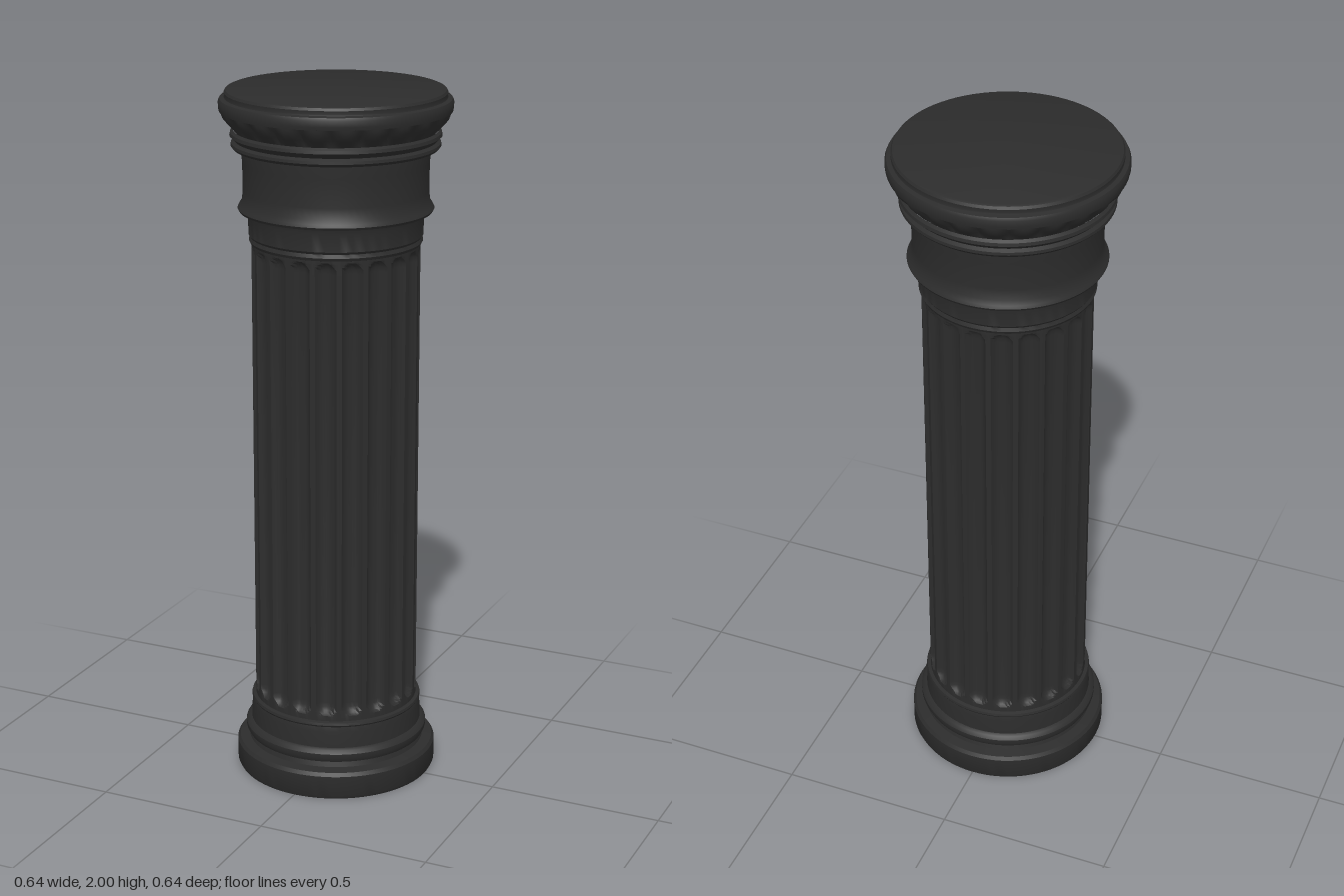
import * as THREE from 'three';
import { toCreasedNormals } from 'three/addons/utils/BufferGeometryUtils.js';

const FLUTES = 20;

export function createModel() {
  const model = new THREE.Group();
  model.name = 'column';
  const stone = new THREE.MeshStandardMaterial({ color: 0x2c2c2c });
  stone.name = 'dark stone';

  // Turned part from [radius, y] pairs, bottom to top; carve(angle, y, radius) may change the radius
  function turned(name, profile, segments = 80, carve = null) {
    const geo = new THREE.LatheGeometry(profile.map(([r, y]) => new THREE.Vector2(r, y)), segments);
    if (carve) {
      const p = geo.attributes.position;
      for (let i = 0; i < p.count; i++) {
        const x = p.getX(i), z = p.getZ(i), r = Math.hypot(x, z);
        if (r < 1e-4) continue;
        const k = carve(Math.atan2(x, z), p.getY(i), r) / r;
        p.setX(i, x * k);
        p.setZ(i, z * k);
      }
    }
    const mesh = new THREE.Mesh(toCreasedNormals(geo, 0.6), stone);
    mesh.name = name;
    model.add(mesh);
  }

  // Round plinth and the mouldings above it
  turned('plinth', [[0, 0], [0.285, 0], [0.29, 0.01], [0.29, 0.07], [0.283, 0.08], [0.255, 0.085], [0.25, 0.1]]);
  turned('baseMoulding', [
    [0.25, 0.1], [0.258, 0.103], [0.264, 0.115], [0.264, 0.128], [0.257, 0.138], [0.248, 0.142],
    [0.246, 0.19], [0.244, 0.205], [0.247, 0.21], [0.245, 0.217], [0.225, 0.222]]);

  // Fluted shaft: concave channels with rounded ends between narrow fillets
  const low = 0.235, high = 1.565, radius = 0.235;
  const rows = [0.215, 0.235, 0.24, 0.247, 0.256, 0.27];
  const heights = [...rows, ...rows.map((y) => low + high - y).reverse()];
  turned('shaft', heights.map((y) => [radius, y]), FLUTES * 10, (angle, y, r) => {
    const t = angle * FLUTES / (2 * Math.PI);
    const u = Math.abs(t - Math.round(t)) / 0.4;
    const end = Math.min(1, Math.max(0, Math.min(y - low, high - y) / 0.035));
    const width = Math.sqrt(1 - (1 - end) ** 2);
    return u < width ? r - 0.02 * Math.sqrt(width * width - u * u) : r;
  });

  // Necking band above the shaft
  turned('necking', [
    [0.225, 1.568], [0.238, 1.572], [0.242, 1.58], [0.238, 1.59], [0.243, 1.597],
    [0.243, 1.648], [0.247, 1.66], [0.26, 1.663]]);

  // Capital drum with a flared lower lip
  turned('capitalDrum', [
    [0.24, 1.66], [0.268, 1.663], [0.272, 1.67], [0.268, 1.678], [0.26, 1.69], [0.257, 1.72],
    [0.258, 1.8], [0.262, 1.83], [0.262, 1.836]]);
  turned('capitalRings', [
    [0.25, 1.832], [0.282, 1.837], [0.289, 1.845], [0.288, 1.853], [0.278, 1.859],
    [0.284, 1.866], [0.292, 1.873], [0.29, 1.882], [0.282, 1.888]]);

  // Flared cushion with a ring of shallow egg carvings
  turned('carvedCushion', [
    [0.278, 1.885], [0.288, 1.896], [0.3, 1.908], [0.31, 1.92], [0.316, 1.935], [0.317, 1.945]],
  240, (angle, y, r) => {
    const fade = Math.sin(Math.PI * Math.min(1, Math.max(0, (y - 1.885) / 0.06)));
    return r - 0.012 * fade * (1 - Math.abs(Math.cos(angle * 12)));
  });

  // Round slab closing the top
  turned('abacus', [
    [0.305, 1.938], [0.32, 1.941], [0.322, 1.95], [0.322, 1.966], [0.318, 1.974], [0.306, 1.977],
    [0.305, 1.981], [0.306, 1.99], [0.302, 1.997], [0.295, 2], [0, 2]]);

  return model;
}
